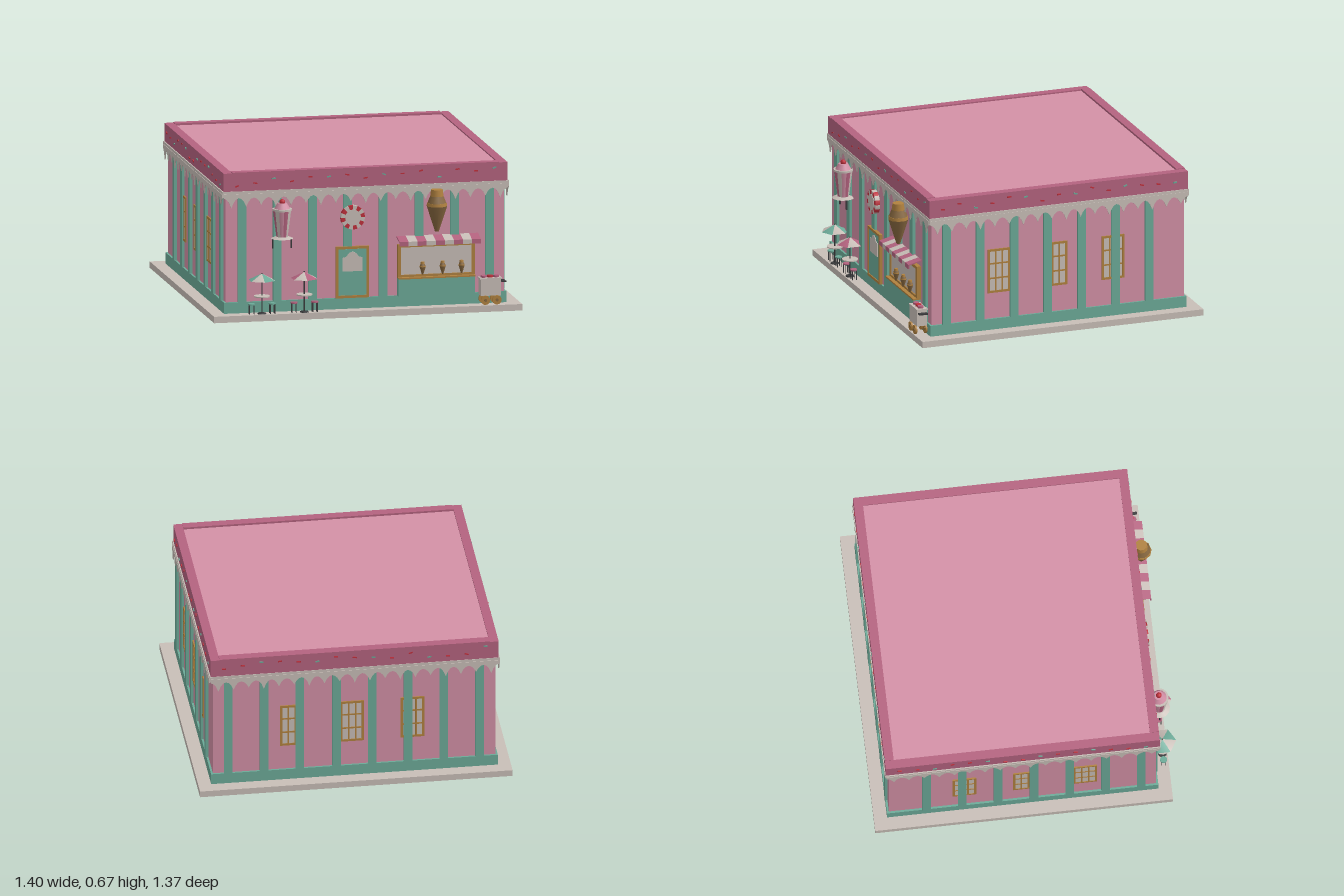
import * as THREE from 'three';

const mat = (name, color, extra = {}) => Object.assign(new THREE.MeshStandardMaterial({ color, ...extra }), { name });

export function createModel() {
  const M = {
    pink: mat('wall pink', 0xd390a6, { side: THREE.DoubleSide }),
    rose: mat('deep rose', 0xb4637f, { side: THREE.DoubleSide }),
    cream: mat('icing cream', 0xc8beb7, { side: THREE.DoubleSide }),
    mint: mat('mint green', 0x6caa98, { side: THREE.DoubleSide }),
    gold: mat('waffle gold', 0xb0813f),
    brown: mat('chocolate brown', 0x86673f),
    red: mat('cherry red', 0xc0303c),
    dark: mat('dark metal', 0x3a3a3c),
    stone: mat('underside stone', 0x888079),
  };
  const root = new THREE.Group();
  root.name = 'iceCreamShop';

  const add = (parent, name, geo, m, x = 0, y = 0, z = 0) => {
    const mesh = new THREE.Mesh(geo, m);
    mesh.name = name;
    mesh.position.set(x, y, z);
    parent.add(mesh);
    return mesh;
  };
  const group = (parent, name, x = 0, y = 0, z = 0) => {
    const g = new THREE.Group();
    g.name = name;
    g.position.set(x, y, z);
    parent.add(g);
    return g;
  };
  // box given by its limits
  const box = (p, name, m, x0, x1, y0, y1, z0, z1) =>
    add(p, name, new THREE.BoxGeometry(x1 - x0, y1 - y0, z1 - z0), m, (x0 + x1) / 2, (y0 + y1) / 2, (z0 + z1) / 2);
  const cyl = (p, name, m, rt, rb, h, x, y, z, n = 10) =>
    add(p, name, new THREE.CylinderGeometry(rt, rb, h, n), m, x, y, z);
  // round part made of wedges in alternating colours
  const wedges = (p, name, rt, rb, h, n, mats, open = false) => {
    const g = group(p, name);
    const a = (Math.PI * 2) / n;
    for (let i = 0; i < n; i++)
      add(g, name + 'Panel', new THREE.CylinderGeometry(rt, rb, h, 1, 1, open, i * a, a), mats[i % mats.length]);
    return g;
  };
  // rectangular frame of four bars
  const frame = (p, name, m, x0, x1, y0, y1, z0, z1, t) => {
    box(p, name, m, x0, x0 + t, y0, y1, z0, z1);
    box(p, name, m, x1 - t, x1, y0, y1, z0, z1);
    box(p, name, m, x0 + t, x1 - t, y1 - t, y1, z0, z1);
    box(p, name, m, x0 + t, x1 - t, y0, y0 + t, z0, z1);
  };

  // slab with a darker underside, and the floor seen from below
  const { cream, stone } = M;
  box(root, 'groundSlab', [cream, cream, cream, stone, cream, cream], -0.7, 0.7, 0.001, 0.03, -0.665, 0.665);
  const floorHalf = (name, m, pts) =>
    add(root, name, new THREE.ShapeGeometry(new THREE.Shape(pts.map((p) => new THREE.Vector2(...p)))).rotateX(Math.PI / 2), m);
  floorHalf('floorLeft', M.cream, [[0.635, 0.6], [-0.635, -0.6], [0.635, -0.6]]);
  floorHalf('floorRight', M.pink, [[0.635, 0.6], [-0.635, 0.6], [-0.635, -0.6]]);

  // walls, plinth and roof rim
  box(root, 'walls', M.pink, -0.633, 0.633, 0.03, 0.658, -0.597, 0.597);
  box(root, 'plinth', M.mint, -0.642, 0.642, 0.03, 0.08, -0.606, 0.606);
  box(root, 'icingBand', M.cream, -0.65, 0.65, 0.556, 0.582, -0.614, 0.614);
  for (const s of [-1, 1]) {
    add(root, 'roofRim', new THREE.BoxGeometry(1.21, 0.085, 0.04), M.rose, 0, 0.6245, s * 0.592);
    add(root, 'roofRim', new THREE.BoxGeometry(0.04, 0.082, 1.224), M.rose, s * 0.625, 0.623, 0);
  }

  // pointed icing drips
  const drips = (width, n) => {
    const s = new THREE.Shape();
    const w = width / n;
    s.moveTo(-width / 2, 0.57);
    for (let i = 0; i < n; i++) {
      const x = -width / 2 + i * w;
      const tip = 0.506 + (i % 3) * 0.006;
      s.lineTo(x, 0.552);
      s.quadraticCurveTo(x + w * 0.3, 0.55, x + w / 2, tip);
      s.quadraticCurveTo(x + w * 0.7, 0.55, x + w, 0.552);
    }
    s.lineTo(width / 2, 0.57);
    return new THREE.ExtrudeGeometry(s, { depth: 0.005, bevelEnabled: false, curveSegments: 3 });
  };

  // flush window, three panes by three
  const paneWindow = (p, x) => {
    const g = group(p, 'window', x, 0, 0);
    box(g, 'pane', M.cream, -0.05, 0.05, 0.2, 0.4, 0, 0.003);
    frame(g, 'windowFrame', M.gold, -0.053, 0.053, 0.2, 0.403, 0, 0.006, 0.01);
    for (const s of [-1, 1]) {
      add(g, 'mullion', new THREE.BoxGeometry(0.007, 0.19, 0.005), M.gold, s * 0.016, 0.302, 0.003);
      add(g, 'glazingBar', new THREE.BoxGeometry(0.1, 0.007, 0.005), M.gold, 0, 0.302 + s * 0.034, 0.003);
    }
  };

  // four facades, each with local x along the wall and z outward
  const stripesZ = [0.53, 0.37, 0.21, 0.05, -0.11, -0.27, -0.43];
  const stripesX = [-0.56, -0.4, -0.24, -0.08, 0.08, 0.245, 0.405, 0.565];
  const windows = [-0.26, 0.01, 0.28];
  const sides = [
    ['front', 0, 0.597, 1.29, stripesX, []],
    ['right', Math.PI / 2, 0.633, 1.22, stripesZ.map((z) => -z), windows.map((z) => -z)],
    ['back', Math.PI, 0.597, 1.29, stripesX.map((x) => -x), windows.map((x) => -x)],
    ['left', -Math.PI / 2, 0.633, 1.22, stripesZ, windows],
  ];
  let seed = 7;
  const rnd = () => (seed = (seed * 16807) % 2147483647) / 2147483647;
  for (const [name, angle, dist, width, stripes, wins] of sides) {
    const side = group(root, name + 'Facade');
    side.rotation.y = angle;
    for (const x of stripes) box(side, 'wallStripe', M.mint, x - 0.019, x + 0.019, 0.08, 0.56, dist, dist + 0.012);
    const face = group(side, 'windows', 0, 0, dist);
    for (const x of wins) paneWindow(face, x);
    add(side, 'icingDrips', drips(width, width > 1.25 ? 19 : 18), M.cream, 0, 0, dist + 0.014);
    // sprinkles on the rim
    for (let i = 0; i < 15; i++) {
      const s = add(side, 'sprinkle', new THREE.BoxGeometry(0.018, 0.006, 0.004), [M.red, M.red, M.mint][i % 3],
        (i / 14 - 0.5) * (width - 0.12), 0.605 + rnd() * 0.04, dist + 0.0155);
      s.rotation.z = (rnd() - 0.5) * 0.8;
    }
  }

  // door with arched pane
  const door = group(root, 'door', -0.06, 0, 0.6);
  box(door, 'doorLeaf', M.mint, -0.065, 0.065, 0.08, 0.3, 0, 0.011);
  frame(door, 'doorFrame', M.gold, -0.075, 0.075, 0.08, 0.312, 0, 0.015, 0.011);
  const arch = new THREE.Shape();
  arch.moveTo(-0.046, 0.2);
  arch.lineTo(0.046, 0.2);
  arch.lineTo(0.046, 0.262);
  arch.quadraticCurveTo(0.025, 0.264, 0.022, 0.276);
  arch.quadraticCurveTo(0, 0.3, -0.022, 0.276);
  arch.quadraticCurveTo(-0.025, 0.264, -0.046, 0.262);
  add(door, 'doorPane', new THREE.ExtrudeGeometry(arch, { depth: 0.003, bevelEnabled: false }), M.cream, 0, 0, 0.011);

  // striped candy disc above the door
  const candy = group(root, 'candySign', -0.06, 0.445, 0.614);
  candy.rotation.x = Math.PI / 2;
  wedges(candy, 'candy', 0.055, 0.055, 0.022, 16, [M.red, M.cream]);
  cyl(candy, 'candyCentre', M.cream, 0.036, 0.036, 0.026, 0, 0, 0, 16);

  // waffle cone with a stacked top
  const cone = (p, name, x, y, z, s) => {
    const g = group(p, name, x, y, z);
    g.scale.setScalar(s);
    cyl(g, 'cone', M.brown, 0.046, 0.009, 0.115, 0, 0.0575, 0);
    cyl(g, 'coneRim', M.gold, 0.044, 0.046, 0.014, 0, 0.122, 0);
    cyl(g, 'scoop', M.brown, 0.03, 0.042, 0.03, 0, 0.144, 0);
    cyl(g, 'scoopTop', M.gold, 0.026, 0.03, 0.03, 0, 0.174, 0);
  };
  cone(root, 'coneSign', 0.318, 0.37, 0.638, 1);

  // hanging sundae cup sign
  const cup = group(root, 'sundaeSign', -0.385, 0, 0.637);
  wedges(cup, 'cup', 0.042, 0.026, 0.12, 12, [M.rose, M.cream, M.pink]).position.y = 0.435;
  cyl(cup, 'cupRim', M.cream, 0.044, 0.044, 0.009, 0, 0.497, 0, 12);
  cyl(cup, 'cream', M.pink, 0.022, 0.036, 0.026, 0, 0.513, 0, 12);
  add(cup, 'cherry', new THREE.SphereGeometry(0.013, 10, 8), M.red, 0, 0.531, 0);
  cyl(cup, 'cupFoot', M.cream, 0.03, 0.05, 0.008, 0, 0.371, 0, 12);
  for (const s of [-1, 1]) add(cup, 'bracket', new THREE.BoxGeometry(0.006, 0.045, 0.006), M.dark, s * 0.042, 0.345, 0);

  // serving hatch, counter and awning
  const hatch = group(root, 'servingHatch');
  box(hatch, 'counter', M.mint, 0.145, 0.493, 0.08, 0.16, 0.597, 0.632);
  box(hatch, 'counterTop', M.gold, 0.145, 0.495, 0.157, 0.164, 0.597, 0.634);
  box(hatch, 'hatchPane', M.cream, 0.155, 0.485, 0.164, 0.3, 0.597, 0.611);
  frame(hatch, 'hatchFrame', M.gold, 0.145, 0.495, 0.16, 0.312, 0.597, 0.616, 0.014);
  for (const x of [0.256, 0.347, 0.433]) cone(hatch, 'displayCone', x, 0.174, 0.625, 0.31);
  const awn = new THREE.Shape([[0.6, 0.348], [0.663, 0.332], [0.663, 0.312], [0.658, 0.312], [0.658, 0.328], [0.6, 0.342]]
    .map((p) => new THREE.Vector2(...p)));
  const strip = 0.37 / 9;
  const awnGeo = new THREE.ExtrudeGeometry(awn, { depth: strip, bevelEnabled: false }).rotateY(-Math.PI / 2);
  for (let i = 0; i < 9; i++) add(hatch, 'awningStripe', awnGeo, i % 2 ? M.cream : M.rose, 0.143 + (i + 1) * strip);

  // ice cream cart
  const cart = group(root, 'cart', 0.56, 0, 0.633);
  box(cart, 'cartBody', M.cream, -0.046, 0.046, 0.072, 0.145, -0.024, 0.024);
  box(cart, 'cartTop', M.cream, -0.05, 0.05, 0.145, 0.152, -0.026, 0.026);
  for (const [i, x] of [-0.028, 0, 0.028].entries()) cyl(cart, 'cartTub', i % 2 ? M.red : M.rose, 0.014, 0.014, 0.01, x, 0.156, 0, 8);
  for (const x of [-0.026, 0.026]) for (const z of [-0.022, 0.026]) {
    cyl(cart, 'cartWheel', M.gold, 0.021, 0.021, 0.008, x, 0.053, z, 14).rotation.x = Math.PI / 2;
    cyl(cart, 'wheelHub', M.brown, 0.007, 0.007, 0.012, x, 0.053, z, 8).rotation.x = Math.PI / 2;
  }
  box(cart, 'cartHandle', M.dark, 0.05, 0.07, 0.13, 0.136, -0.02, 0.02);

  // parasol tables with two stools each
  for (const [x, colour] of [[-0.478, M.mint], [-0.285, M.rose]]) {
    const set = group(root, 'parasolTable', x, 0, 0.642);
    wedges(set, 'parasol', 0.002, 0.062, 0.03, 6, [colour, M.cream], true).position.y = 0.197;
    cyl(set, 'pole', M.dark, 0.003, 0.003, 0.185, 0, 0.1225, 0, 6);
    cyl(set, 'tableTop', M.cream, 0.036, 0.036, 0.005, 0, 0.11, 0, 12);
    cyl(set, 'tableFoot', M.dark, 0.018, 0.02, 0.005, 0, 0.0325, 0, 10);
    for (const s of [-1, 1]) {
      cyl(set, 'stoolSeat', colour, 0.016, 0.016, 0.006, s * 0.047, 0.075, 0, 10);
      for (const d of [-1, 1]) for (const z of [-0.009, 0.009])
        add(set, 'stoolLeg', new THREE.BoxGeometry(0.003, 0.045, 0.003), M.dark, s * 0.047 + d * 0.01, 0.0515, z);
    }
  }
  return root;
}
